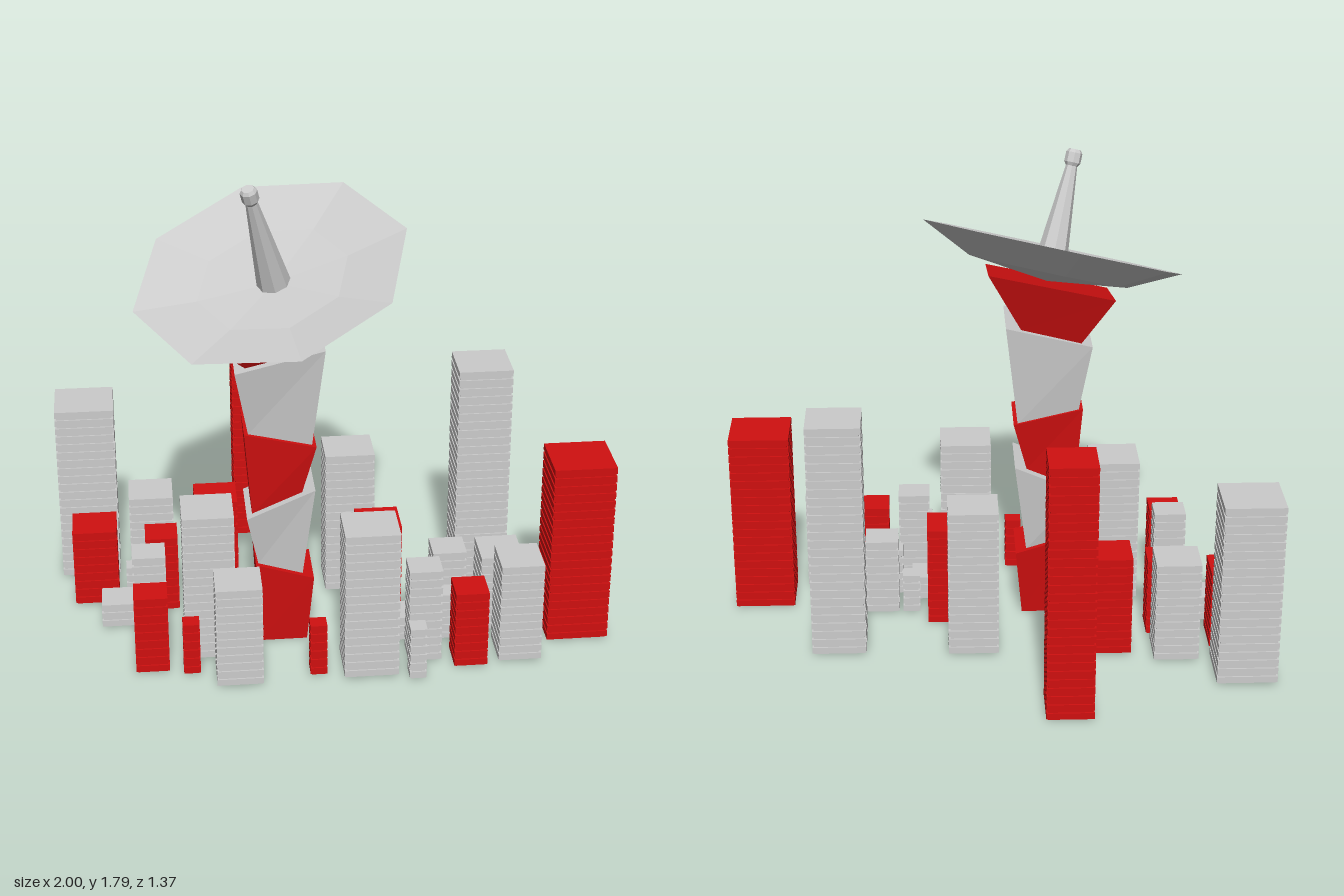
import * as THREE from 'three';
import { mergeGeometries } from 'three/addons/utils/BufferGeometryUtils.js';

const grey = new THREE.MeshStandardMaterial({ color: 0xcccccc, flatShading: true });
const red = new THREE.MeshStandardMaterial({ color: 0xd01010, flatShading: true });
const greyOpen = new THREE.MeshStandardMaterial({ color: 0xcccccc, flatShading: true, side: THREE.DoubleSide });

function part(name, geometry, material) {
  const mesh = new THREE.Mesh(geometry, material);
  mesh.name = name;
  return mesh;
}

// Tower block: a slightly inset core ringed by floor slabs
function building(x0, x1, z0, z1, h, material) {
  const w = x1 - x0, d = z1 - z0, inset = 0.006;
  const floors = Math.max(3, Math.round(h / 0.034)), pitch = h / floors;
  const pieces = [new THREE.BoxGeometry(w - 2 * inset, h - 0.01, d - 2 * inset).translate(0, h / 2, 0)];
  for (let i = 0; i < floors; i++) {
    const t = pitch * 0.7;
    pieces.push(new THREE.BoxGeometry(w, t, d).translate(0, (i + 1) * pitch - t / 2, 0));
  }
  const mesh = part('building', mergeGeometries(pieces), material);
  mesh.position.set((x0 + x1) / 2, 0, (z0 + z1) / 2);
  return mesh;
}

// Four-sided block between two tilted ends: [xLeft, xRight, zBack, zFront, yLeft, yRight, slope along z]
function taperedBlock(bottom, top) {
  const g = new THREE.BoxGeometry(1, 1, 1), p = g.attributes.position;
  for (let i = 0; i < p.count; i++) {
    const [xl, xr, zb, zf, yl, yr, slope] = p.getY(i) > 0 ? top : bottom;
    const right = p.getX(i) > 0, front = p.getZ(i) > 0;
    const y = (right ? yr : yl) + slope * (front ? 0.5 : -0.5) * (zf - zb);
    p.setXYZ(i, right ? xr : xl, y, front ? zf : zb);
  }
  g.computeVertexNormals();
  return g;
}

export function createModel() {
  const model = new THREE.Group();
  model.name = 'cityWithDishTower';

  // City blocks: x0, x1, z0, z1, height
  const city = new THREE.Group();
  city.name = 'city';
  const greyBlocks = [
    [-1, -0.78, -0.465, -0.255, 0.71], [-0.735, -0.57, -0.29, -0.13, 0.395],
    [-0.755, -0.69, -0.085, -0.025, 0.16], [-0.85, -0.73, 0.01, 0.135, 0.1],
    [-0.73, -0.61, 0.17, 0.28, 0.375], [-0.55, -0.365, 0.195, 0.38, 0.58],
    [-0.445, -0.28, 0.41, 0.57, 0.395], [0, 0.185, -0.22, -0.05, 0.58],
    [0.01, 0.205, 0.38, 0.56, 0.58], [0.2, 0.32, 0.21, 0.33, 0.1],
    [0.29, 0.355, 0.11, 0.175, 0.16], [0.37, 0.495, 0.11, 0.23, 0.305],
    [0.355, 0.43, 0.26, 0.335, 0.19], [0.465, 0.53, 0.325, 0.385, 0.16],
    [0.25, 0.37, 0.365, 0.475, 0.375], [0.24, 0.3, 0.525, 0.59, 0.21],
    [0.575, 0.73, 0.34, 0.505, 0.395], [0.54, 0.695, 0.125, 0.29, 0.31],
    [0.49, 0.69, -0.205, -0.015, 0.92],
  ];
  const redBlocks = [
    [-0.32, -0.15, -0.69, -0.52, 0.98], [-0.95, -0.785, -0.2, -0.04, 0.31],
    [-0.68, -0.56, -0.09, 0.03, 0.31], [-0.69, -0.615, 0.065, 0.14, 0.2],
    [-0.73, -0.61, 0.34, 0.455, 0.31], [-0.49, -0.33, -0.235, -0.075, 0.395],
    [-0.56, -0.5, 0.42, 0.48, 0.21], [-0.11, -0.05, 0.47, 0.53, 0.21],
    [0.1, 0.26, 0.02, 0.18, 0.395], [0.41, 0.53, 0.4, 0.525, 0.305],
    [0.775, 1, 0.17, 0.385, 0.71],
  ];
  greyBlocks.forEach((b) => city.add(building(...b, grey)));
  redBlocks.forEach((b) => city.add(building(...b, red)));
  model.add(city);

  // Leaning tower: each block sits on the tilted top of the one below
  const segments = [
    [[-0.27, -0.1, 0.11, 0.27, 0, 0, 0], [-0.285, -0.075, 0.08, 0.29, 0.33, 0.265, 0]],
    [[-0.275, -0.115, 0.1, 0.27, 0.325, 0.275, 0], [-0.315, -0.07, 0.065, 0.3, 0.525, 0.63, 0]],
    [[-0.295, -0.115, 0.1, 0.27, 0.53, 0.61, 0], [-0.32, -0.065, 0.075, 0.295, 0.86, 0.8, 0]],
    [[-0.305, -0.08, 0.085, 0.28, 0.855, 0.8, 0], [-0.35, -0.035, 0.055, 0.32, 1.11, 1.185, -0.03]],
  ];
  segments.forEach(([bottom, top], i) =>
    model.add(part('towerSegment', taperedBlock(bottom, top), i % 2 ? grey : red)));
  model.add(part('dishNeck', taperedBlock(
    [-0.31, -0.09, 0.065, 0.29, 1.12, 1.175, -0.05],
    [-0.425, 0.03, 0, 0.37, 1.27, 1.37, -0.23]), red));

  // Tilted octagonal dish with its antenna
  const dish = new THREE.Group();
  dish.name = 'dish';
  const profile = [[0, -0.125], [0.3, -0.09], [0.49, 0], [0.27, -0.04], [0, -0.06]]
    .map(([r, y]) => new THREE.Vector2(r, y));
  dish.add(part('dishBowl', new THREE.LatheGeometry(profile, 8, THREE.MathUtils.degToRad(6)), greyOpen));
  dish.add(part('antenna', new THREE.CylinderGeometry(0.02, 0.06, 0.37, 8).translate(0, 0.125, 0), grey));
  const tip = [[0, 0.3], [0.022, 0.3], [0.03, 0.312], [0.03, 0.348], [0.022, 0.36], [0, 0.36]]
    .map(([r, y]) => new THREE.Vector2(r, y));
  dish.add(part('antennaTip', new THREE.LatheGeometry(tip, 8), grey));
  dish.quaternion.setFromUnitVectors(
    new THREE.Vector3(0, 1, 0), new THREE.Vector3(-0.235, 1, 0.32).normalize());
  dish.position.set(-0.215, 1.445, 0.21);
  model.add(dish);
  return model;
}
